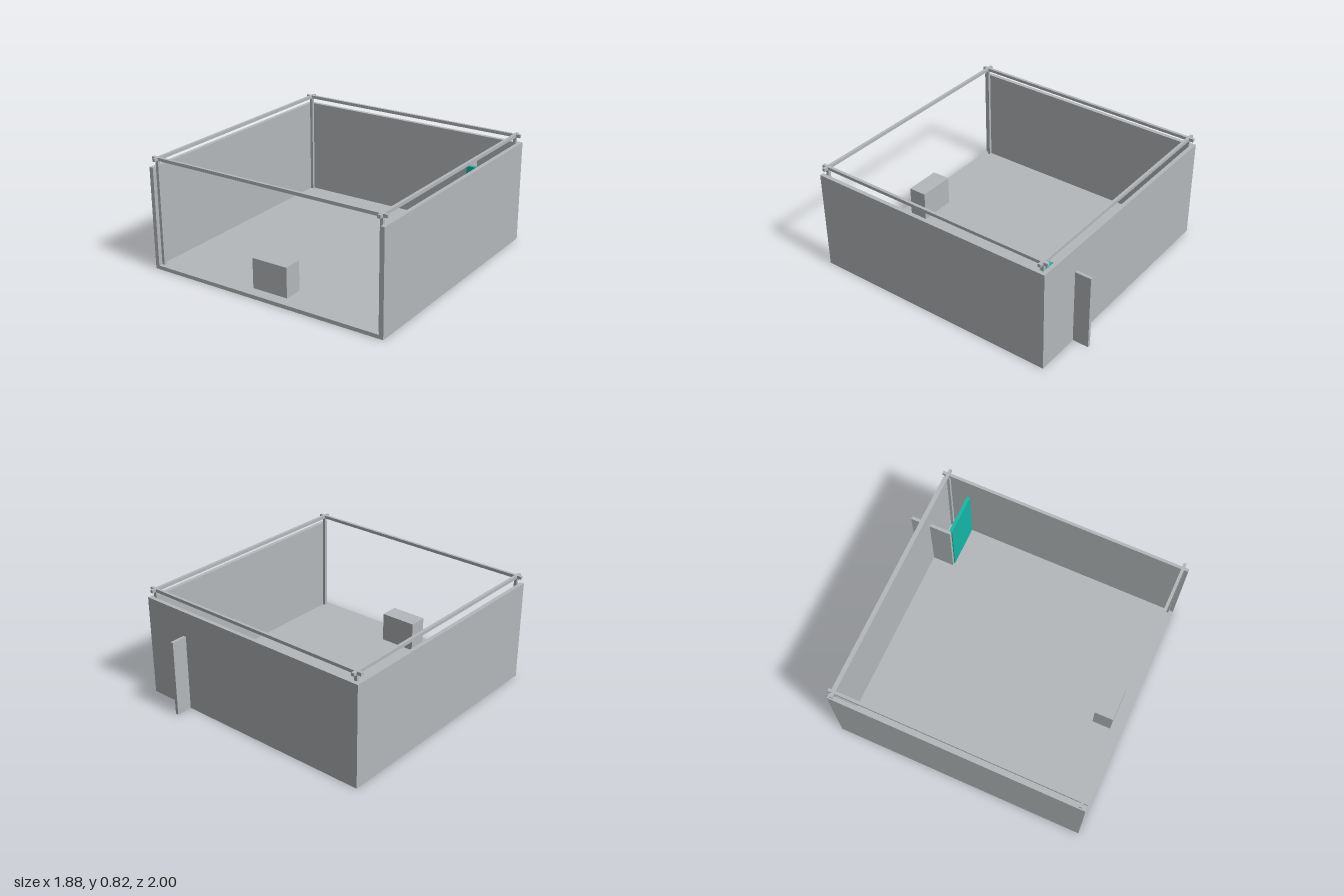
import * as THREE from 'three';

export function createModel() {
  const model = new THREE.Group();
  model.name = 'openBooth';

  const grey = new THREE.MeshStandardMaterial({ color: 0xb4b8bb });
  grey.name = 'light grey';
  const teal = new THREE.MeshStandardMaterial({ color: 0x14b8a6 });
  teal.name = 'teal';

  // Box given by its lower and upper limits on each axis
  function box(name, [x0, x1], [y0, y1], [z0, z1], material = grey) {
    const mesh = new THREE.Mesh(new THREE.BoxGeometry(x1 - x0, y1 - y0, z1 - z0), material);
    mesh.position.set((x0 + x1) / 2, (y0 + y1) / 2, (z0 + z1) / 2);
    mesh.name = name;
    model.add(mesh);
  }

  const halfW = 0.938, back = -0.88, front = 1.0;
  const wall = 0.03, floorTop = 0.028, wallTop = 0.755;
  const railBottom = 0.8, railTop = 0.823;

  // Floor and three walls, open at the front
  box('floor', [-halfW, halfW], [0, floorTop], [back, front]);
  box('backWall', [-halfW + wall, halfW - wall], [floorTop, wallTop], [back, back + wall]);
  box('leftWall', [halfW - wall, halfW], [floorTop, wallTop], [back, front]);
  box('rightWall', [-halfW, -halfW + wall], [floorTop, wallTop], [back, front]);

  // Corner posts and the overhead rails that cross above them
  const railX = [[-0.907, -0.885], [0.885, 0.907]];
  const railZ = [[-0.85, -0.829], [0.949, 0.97]];
  for (const x of railX) {
    box('sideRail', x, [railBottom, railTop], [back, front]);
    for (const z of railZ) box('cornerPost', x, [floorTop, railBottom], z);
  }
  for (const z of railZ) box('crossRail', [-halfW, halfW], [railBottom, railTop], z);

  // Counter block near the open front
  box('counter', [-0.14, 0.14], [floorTop, 0.25], [0.775, 0.915]);

  // Partition passing through the back wall, with a coloured panel closing the corner
  box('partition', [0.574, 0.597], [0, 0.567], [-1.0, -0.688]);
  box('cornerPanel', [0.597, halfW - wall], [0.001, 0.567], [-0.705, -0.68], teal);

  return model;
}
